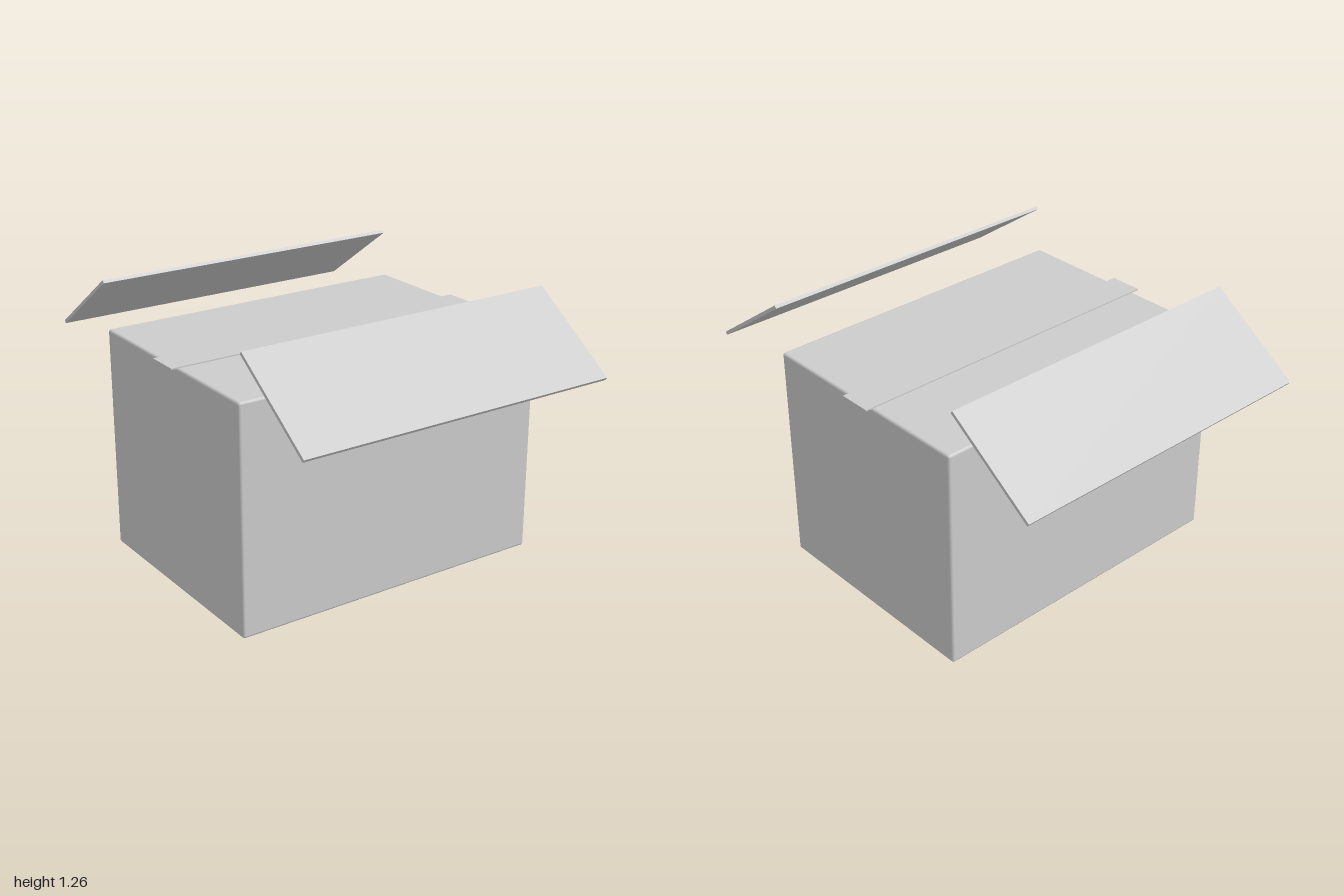
import * as THREE from 'three';
import { RoundedBoxGeometry } from 'three/addons/geometries/RoundedBoxGeometry.js';

export function createModel() {
  const group = new THREE.Group();
  group.name = 'openBox';
  const grey = new THREE.MeshStandardMaterial({ color: 0xcccccc });
  grey.name = 'light grey';

  const add = (name, geometry, x, y, z, tilt = 0) => {
    const mesh = new THREE.Mesh(geometry, grey);
    mesh.name = name;
    mesh.position.set(x, y, z);
    mesh.rotation.x = tilt;
    group.add(mesh);
  };

  // Closed body with slightly softened edges
  const height = 1.044;
  add('boxBody', new RoundedBoxGeometry(1.53, height, 1.1, 2, 0.012), 0, height / 2, 0);

  // Sealing tape across the top, overhanging both ends
  add('tape', new THREE.BoxGeometry(1.594, 0.006, 0.154), 0, 1.048, 0);

  // Two floating flaps, sloping down and outwards
  const tilt = THREE.MathUtils.degToRad(35);
  for (const [name, side] of [['frontFlap', 1], ['backFlap', -1]]) {
    add(name, new THREE.BoxGeometry(1.53, 0.0153, 0.518), 0, 1.107, side * 0.7835, side * tilt);
  }
  return group;
}
